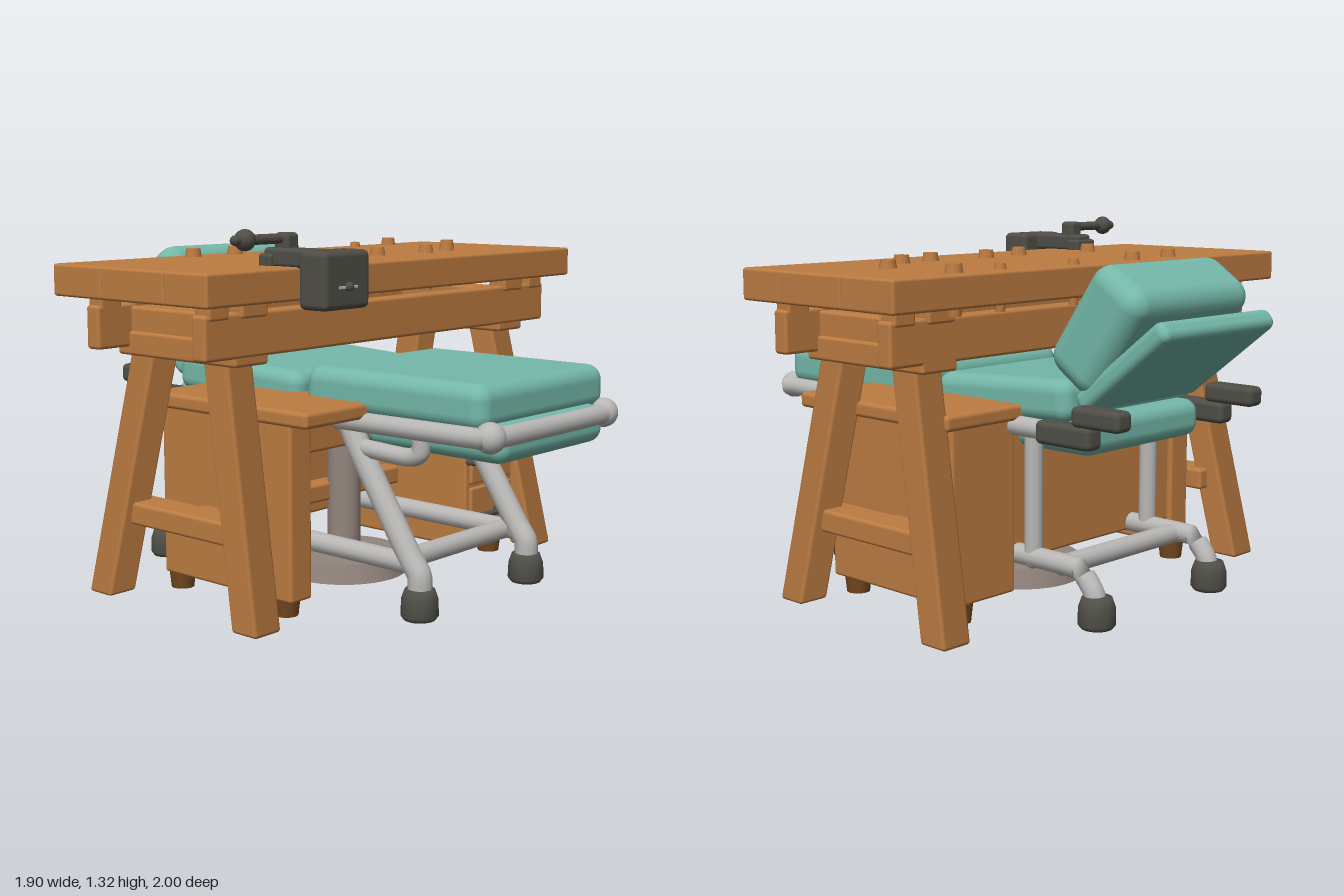
import * as THREE from 'three';
import { RoundedBoxGeometry } from 'three/addons/geometries/RoundedBoxGeometry.js';

const mat = (name, color) => {
  const m = new THREE.MeshStandardMaterial({ color });
  m.name = name;
  return m;
};

export function createModel() {
  const wood = mat('wood', 0xbd7c42);
  const darkWood = mat('dark wood', 0x74491f);
  const teal = mat('teal padding', 0x74b8a9);
  const metal = mat('pale metal', 0xb9b8b6);
  const iron = mat('dark iron', 0x4f4e47);
  const column = mat('taupe metal', 0x93857e);

  const model = new THREE.Group();
  const add = (parent, name, geo, material, x = 0, y = 0, z = 0) => {
    const mesh = new THREE.Mesh(geo, material);
    mesh.name = name;
    mesh.position.set(x, y, z);
    parent.add(mesh);
    return mesh;
  };
  const group = (name) => {
    const g = new THREE.Group();
    g.name = name;
    model.add(g);
    return g;
  };
  // rounded box given by its extents
  const box = (parent, name, material, [x0, x1], [y0, y1], [z0, z1], r = 0.012) =>
    add(parent, name, new RoundedBoxGeometry(x1 - x0, y1 - y0, z1 - z0, 3, r), material,
      (x0 + x1) / 2, (y0 + y1) / 2, (z0 + z1) / 2);
  // smooth or straight tube through points
  const tube = (parent, name, material, pts, r, tension = 0.3) => {
    const v = pts.map((p) => new THREE.Vector3(...p));
    const curve = new THREE.CatmullRomCurve3(v, false, 'catmullrom', tension);
    const mesh = add(parent, name, new THREE.TubeGeometry(curve, 12 * pts.length, r, 12), material);
    for (const p of [v[0], v[v.length - 1]]) {
      add(parent, name + 'End', new THREE.SphereGeometry(r, 12, 8), material, p.x, p.y, p.z);
    }
    return mesh;
  };
  // upright post sheared from a foot point to a head point
  const post = (parent, name, material, foot, head, w, d) => {
    const h = head[1] - foot[1];
    const g = new RoundedBoxGeometry(w, h, d, 3, 0.012);
    const p = g.attributes.position;
    for (let i = 0; i < p.count; i++) {
      const t = p.getY(i) / h + 0.5;
      p.setXYZ(i, p.getX(i) + foot[0] + (head[0] - foot[0]) * t, foot[1] + t * h,
        p.getZ(i) + foot[2] + (head[2] - foot[2]) * t);
    }
    add(parent, name, g, material);
  };

  // ---- Workbench: planked top, stringers and splayed trestles
  const bench = group('workbench');
  [[-0.46, -0.207], [-0.21, 0.102], [0.099, 0.3]].forEach((x) =>
    box(bench, 'topPlank', wood, x, [1.08, 1.19], [-1, 1], 0.01));
  for (const x of [[-0.37, -0.305], [0.155, 0.22]]) {
    box(bench, 'stringer', wood, x, [0.9, 1.05], [-0.935, 0.935]);
  }
  for (const s of [-1, 1]) {
    const zr = (a, b) => (s > 0 ? [a, b] : [-b, -a]);
    box(bench, 'crossBlock', wood, [-0.37, 0.215], [0.87, 0.955], zr(0.645, 0.8));
    box(bench, 'crossRail', wood, [-0.32, 0.17], [0.94, 1.04], zr(0.67, 0.79));
    for (const x of [-0.34, 0.19]) {
      box(bench, 'spacer', wood, [x - 0.04, x + 0.04], [1.03, 1.1], zr(0.66, 0.78), 0.01);
      box(bench, 'endSpacer', wood, [x - 0.035, x + 0.035], [1.03, 1.1], zr(0.83, 0.92), 0.01);
    }
    post(bench, 'trestleLeg', wood, [-0.45, 0, s * 0.785], [-0.255, 0.9, s * 0.725], 0.115, 0.12);
    post(bench, 'trestleLeg', wood, [0.285, 0, s * 0.785], [0.1, 0.9, s * 0.725], 0.115, 0.12);
    box(bench, 'legRail', wood, [-0.38, 0.22], [0.265, 0.345], zr(0.66, 0.79));
  }
  box(bench, 'stretcher', wood, [-0.13, -0.05], [0.27, 0.34], [-0.7, 0.7]);

  // pegs standing in the top, as [x, z]
  const pegs = [[-0.38, -0.67], [-0.085, -0.69], [0.06, -0.5], [0.085, -0.34], [0.06, -0.085],
    [0.09, 0.12], [-0.39, 0.21], [-0.38, 0.43], [0.05, 0.47], [-0.4, -0.12], [-0.38, -0.46]];
  pegs.forEach(([x, z], i) => {
    const r = i < 9 ? 0.034 : 0.024;
    add(bench, 'peg', new THREE.CylinderGeometry(r * 0.75, r, i < 9 ? 0.05 : 0.03, 10), wood, x, 1.195, z);
    add(bench, 'pegEnd', new THREE.CylinderGeometry(r * 0.8, r * 0.7, 0.04, 10), wood, x, 1.07, z);
  });

  // ---- Vise clamped on the edge of the bench
  const vise = group('vise');
  box(vise, 'jaw', iron, [0.365, 0.485], [1.06, 1.25], [0.445, 0.665], 0.02);
  box(vise, 'arm', iron, [0.14, 0.38], [1.185, 1.25], [0.515, 0.595], 0.015);
  box(vise, 'foot', iron, [0.13, 0.19], [1.18, 1.23], [0.5, 0.61], 0.012);
  box(vise, 'neck', iron, [0.175, 0.24], [1.23, 1.3], [0.52, 0.58], 0.015);
  tube(vise, 'handle', iron, [[0.205, 1.28, 0.54], [0.2, 1.28, 0.78]], 0.017);
  add(vise, 'handleKnob', new THREE.SphereGeometry(0.036, 14, 10), iron, 0.2, 1.28, 0.735);
  add(vise, 'screwHead', new THREE.SphereGeometry(0.016, 10, 8), iron, 0.49, 1.135, 0.555);
  box(vise, 'slot', metal, [0.482, 0.488], [1.128, 1.138], [0.51, 0.6], 0.002);

  // ---- Desk with side panel, back panel and drawers
  const desk = group('desk');
  box(desk, 'deskTop', wood, [-0.37, 0.395], [0.67, 0.725], [-0.695, 0.66], 0.015);
  box(desk, 'sidePanel', wood, [-0.34, 0.295], [0.06, 0.68], [0.525, 0.63]);
  box(desk, 'backPanel', wood, [-0.32, -0.27], [0.16, 0.68], [-0.4, 0.55]);
  box(desk, 'apron', wood, [-0.3, 0.25], [0.55, 0.68], [-0.38, 0.55]);
  box(desk, 'drawerCase', wood, [-0.34, 0.285], [0.06, 0.68], [-0.645, -0.345]);
  for (const [y0, y1, yh] of [[0.49, 0.65, 0.57], [0.31, 0.475, 0.4], [0.085, 0.295, 0.195]]) {
    box(desk, 'drawerFront', wood, [0.275, 0.3], [y0, y1], [-0.625, -0.365], 0.008);
    tube(desk, 'drawerHandle', iron, [[0.295, yh, -0.52], [0.335, yh, -0.505],
      [0.345, yh, -0.435], [0.335, yh, -0.365], [0.295, yh, -0.35]], 0.012, 0.5);
  }
  for (const x of [-0.305, 0.22]) {
    for (const z of [-0.585, 0.575]) {
      add(desk, 'deskFoot', new THREE.CylinderGeometry(0.05, 0.042, 0.07, 12), darkWood, x, 0.035, z);
    }
  }
  tube(desk, 'hook', darkWood, [[0.03, 0.72, 0.63], [0.03, 0.78, 0.63], [0.04, 0.79, 0.6]], 0.018);

  // ---- Reclining chair: padding
  const chair = group('chair');
  box(chair, 'footCushion', teal, [0.1, 0.88], [0.67, 0.83], [-0.37, 0.365], 0.055);
  const seat = box(chair, 'seatCushion', teal, [-0.57, 0.06], [0.66, 0.81], [-0.35, 0.35], 0.05);
  seat.rotation.z = -0.05;
  box(chair, 'footPan', teal, [0.33, 0.92], [0.565, 0.7], [-0.31, 0.31], 0.05);
  box(chair, 'seatPan', teal, [-0.64, -0.1], [0.565, 0.7], [-0.31, 0.31], 0.05);
  const backrest = box(chair, 'backrest', teal, [-0.775, -0.53], [0.775, 1.205], [-0.325, 0.315], 0.07);
  backrest.rotation.z = 0.6;
  const backPlate = box(chair, 'backPlate', teal, [-0.8, -0.725], [0.65, 1.11], [-0.31, 0.3], 0.03);
  backPlate.rotation.z = 0.9;

  // chair frame: cushion rail looping round the foot end
  tube(chair, 'cushionRail', metal, [[-0.52, 0.65, 0.35], [0.2, 0.655, 0.355], [0.84, 0.66, 0.36],
    [0.9, 0.66, 0.33], [0.9, 0.66, -0.33], [0.84, 0.66, -0.36], [0.2, 0.655, -0.355],
    [-0.52, 0.65, -0.35]], 0.035);
  for (const s of [-1, 1]) {
    const z = s * 0.312;
    add(chair, 'railCorner', new THREE.SphereGeometry(0.052, 16, 12), metal, 0.892, 0.662, s * 0.335);
    // arm pads in two steps
    box(chair, 'armPad', iron, [-0.84, -0.635], [0.685, 0.755], [s * 0.362 - 0.04, s * 0.362 + 0.04], 0.02);
    box(chair, 'armBase', iron, [-0.715, -0.475], [0.61, 0.69], [s * 0.362 - 0.038, s * 0.362 + 0.038], 0.02);
    // legs and base beams
    tube(chair, 'rearPost', metal, [[-0.395, 0.18, z], [-0.395, 0.64, z]], 0.033);
    tube(chair, 'baseBeam', metal, [[0.57, 0.185, z], [-0.54, 0.19, z], [-0.62, 0.175, z],
      [-0.67, 0.12, z], [-0.685, 0.07, z]], 0.037);
    tube(chair, 'slantedLeg', metal, [[0.28, 0.63, z], [0.33, 0.54, z], [0.54, 0.22, z],
      [0.59, 0.15, z], [0.592, 0.07, z]], 0.043);
    tube(chair, 'footBracket', metal, [[0.3, 0.56, z], [0.53, 0.55, z], [0.59, 0.57, z],
      [0.595, 0.65, z]], 0.032);
    for (const x of [-0.685, 0.592]) {
      const profile = [[0, 0], [0.055, 0], [0.066, 0.015], [0.064, 0.07], [0.052, 0.105], [0, 0.115]];
      add(chair, 'foot', new THREE.LatheGeometry(profile.map((p) => new THREE.Vector2(...p)), 18),
        iron, x, 0, z);
    }
  }
  for (const x of [-0.53, 0.5]) {
    tube(chair, 'baseCrossBar', metal, [[x, 0.185, -0.31], [x, 0.185, 0.31]], 0.036);
  }

  // lifting column on its round base
  add(chair, 'columnBase', new THREE.CylinderGeometry(0.225, 0.24, 0.07, 36), column, -0.03, 0.035, 0);
  add(chair, 'column', new THREE.CylinderGeometry(0.063, 0.063, 0.46, 24), column, -0.03, 0.29, 0);
  add(chair, 'columnHead', new THREE.CylinderGeometry(0.045, 0.045, 0.12, 18), iron, -0.03, 0.55, 0);

  return model;
}
